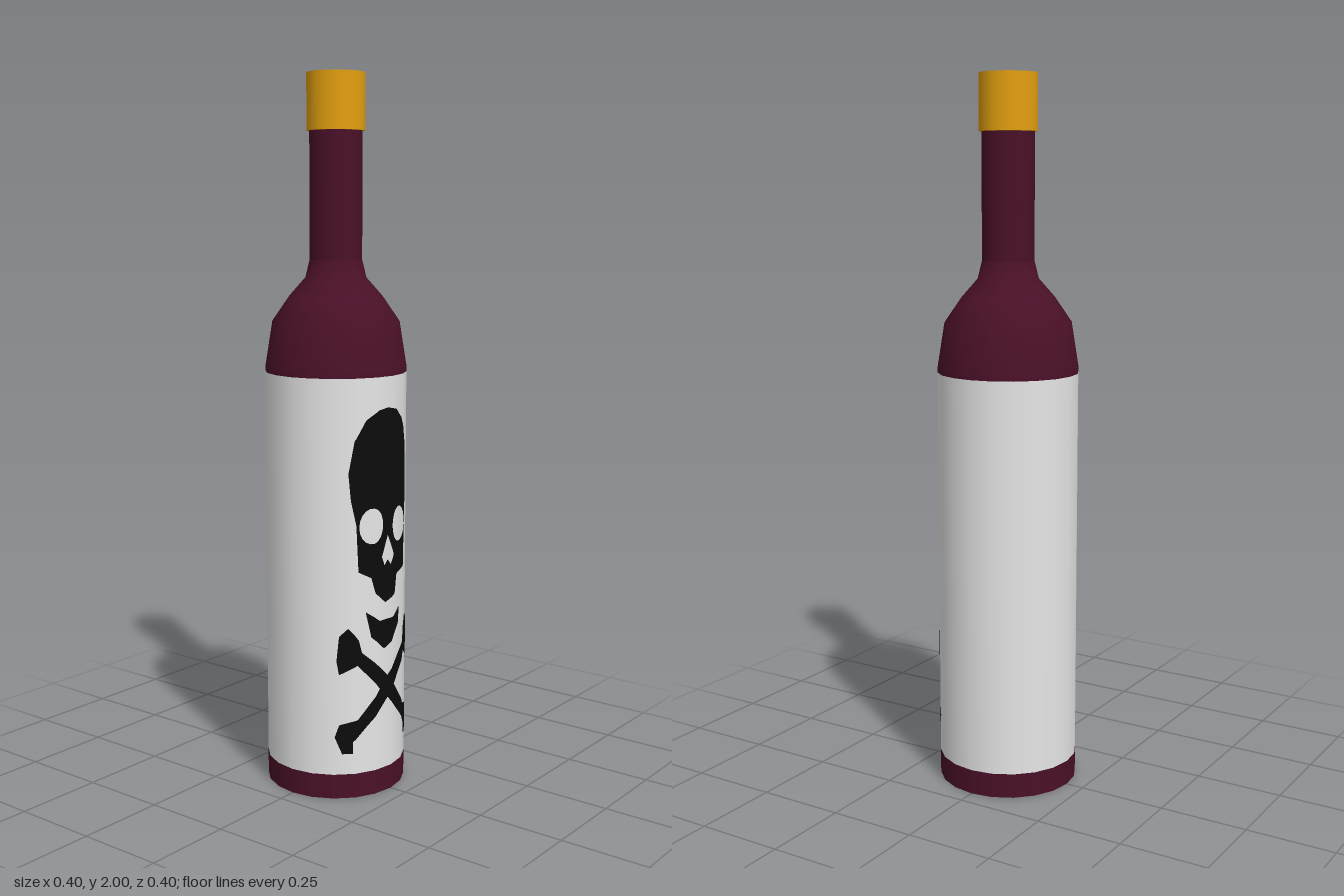
import * as THREE from 'three';

const SIDES = 20, R = 0.198;
const mat = (name, color) => Object.assign(new THREE.MeshStandardMaterial({ color }), { name });
const v2 = (pts) => pts.map(([x, y]) => new THREE.Vector2(x, y));

// keeps the part of a convex polygon where sign * (x - edge) >= 0
function clip(poly, edge, sign) {
  const out = [];
  poly.forEach((a, i) => {
    const b = poly[(i + 1) % poly.length];
    const da = sign * (a.x - edge), db = sign * (b.x - edge);
    if (da >= 0) out.push(a);
    if (da * db < 0) out.push(a.clone().lerp(b, da / (da - db)));
  });
  return out;
}

// lays a flat outline onto the front facets of the bottle, lifted by a hair
function wrapOutline(points, lift) {
  const contour = v2(points);
  if (THREE.ShapeUtils.isClockWise(contour)) contour.reverse();
  const r = R + lift, step = (Math.PI * 2) / SIDES, pos = [], nor = [];
  for (const tri of THREE.ShapeUtils.triangulateShape(contour, [])) {
    for (let k = -5; k < 5; k++) {
      const x0 = r * Math.sin(k * step), x1 = r * Math.sin((k + 1) * step);
      const z0 = r * Math.cos(k * step), z1 = r * Math.cos((k + 1) * step);
      const poly = clip(clip(tri.map((i) => contour[i]), x0, 1), x1, -1);
      for (let i = 1; i < poly.length - 1; i++) {
        for (const p of [poly[0], poly[i], poly[i + 1]]) {
          const z = z0 + ((z1 - z0) * (p.x - x0)) / (x1 - x0), l = Math.hypot(p.x, z);
          pos.push(p.x, p.y, z);
          nor.push(p.x / l, 0, z / l);
        }
      }
    }
  }
  const g = new THREE.BufferGeometry();
  g.setAttribute('position', new THREE.Float32BufferAttribute(pos, 3));
  g.setAttribute('normal', new THREE.Float32BufferAttribute(nor, 3));
  return g;
}

const ellipse = (cx, cy, rx, ry) => Array.from({ length: 18 }, (_, i) => {
  const a = (i / 18) * Math.PI * 2;
  return [cx + rx * Math.cos(a), cy + ry * Math.sin(a)];
});

export function createModel() {
  const group = new THREE.Group();
  const glass = mat('burgundy glass', 0x4a1028);
  const paper = mat('white paper', 0xe6e6e6);
  const ink = mat('black ink', 0x0c0c0c);
  const gold = mat('gold foil', 0xe3a010);
  const add = (name, geometry, material) => {
    const mesh = new THREE.Mesh(geometry, material);
    mesh.name = name;
    group.add(mesh);
    return mesh;
  };
  const lathe = (pts, sides = SIDES) => new THREE.LatheGeometry(v2(pts), sides);

  // Glass: hollowed underside, base band, shoulder and neck
  add('underside', lathe([[0, 0.06], [0.09, 0.05], [0.15, 0.015], [0.18, 0], [R, 0]]), glass);
  add('baseBand', lathe([[R, 0], [R, 0.07]]), glass);
  add('shoulder', lathe([[R, 1.185], [R, 1.2], [0.178, 1.325], [0.13, 1.395],
    [0.085, 1.446], [0.073, 1.495]]), glass);
  add('neck', lathe([[0.073, 1.495], [0.073, 1.85]]), glass);

  // Paper label wrapped around the body
  add('label', lathe([[R, 0.07], [R, 1.185]]), paper);

  // Foil collar with a glass-coloured top
  add('collar', lathe([[0.081, 1.845], [0.081, 2]], 32), gold);
  add('collarUnderside', lathe([[0.07, 1.845], [0.081, 1.845]], 32), gold);
  const top = add('collarTop', new THREE.CircleGeometry(0.081, 32), glass);
  top.rotation.x = -Math.PI / 2;
  top.position.y = 2;

  // Printed skull
  const skull = [[-0.02, 1.1], [-0.055, 1.094], [-0.09, 1.07], [-0.12, 1.015], [-0.132, 0.925],
    [-0.127, 0.85], [-0.116, 0.78], [-0.11, 0.65], [-0.075, 0.63], [-0.063, 0.585],
    [-0.026, 0.553], [0.016, 0.57], [0.026, 0.625], [0.075, 0.64], [0.08, 0.72],
    [0.09, 0.8], [0.095, 0.9], [0.085, 0.99], [0.05, 1.065], [0.02, 1.092]];
  const jaw = [[-0.09, 0.535], [-0.047, 0.503], [0.01, 0.505], [0.042, 0.528], [0.037, 0.48],
    [0, 0.435], [-0.03, 0.42], [-0.074, 0.46]];
  add('skull', wrapOutline(skull, 0.001), ink);
  add('jaw', wrapOutline(jaw, 0.001), ink);

  // Eye sockets and nose showing the paper
  add('rightEyeSocket', wrapOutline(ellipse(-0.074, 0.776, 0.036, 0.05), 0.003), paper);
  add('leftEyeSocket', wrapOutline(ellipse(0.032, 0.768, 0.034, 0.05), 0.003), paper);
  add('nose', wrapOutline([[-0.02, 0.745], [-0.042, 0.685], [-0.032, 0.66], [-0.02, 0.675],
    [-0.008, 0.66], [0.005, 0.685]], 0.003), paper);

  // Crossed bones, the second mirrored from the first
  const bone = [[-0.15, 0.47], [-0.132, 0.492], [-0.108, 0.455], [-0.1, 0.42], [-0.01, 0.335],
    [0.078, 0.228], [0.118, 0.215], [0.127, 0.18], [0.112, 0.13], [0.09, 0.13],
    [0.09, 0.165], [0.053, 0.205], [-0.04, 0.3], [-0.112, 0.385], [-0.15, 0.36], [-0.155, 0.4]];
  add('boneA', wrapOutline(bone, 0.001), ink);
  add('boneB', wrapOutline(bone.map(([x, y]) => [-0.032 - x, y]), 0.0015), ink);

  return group;
}
